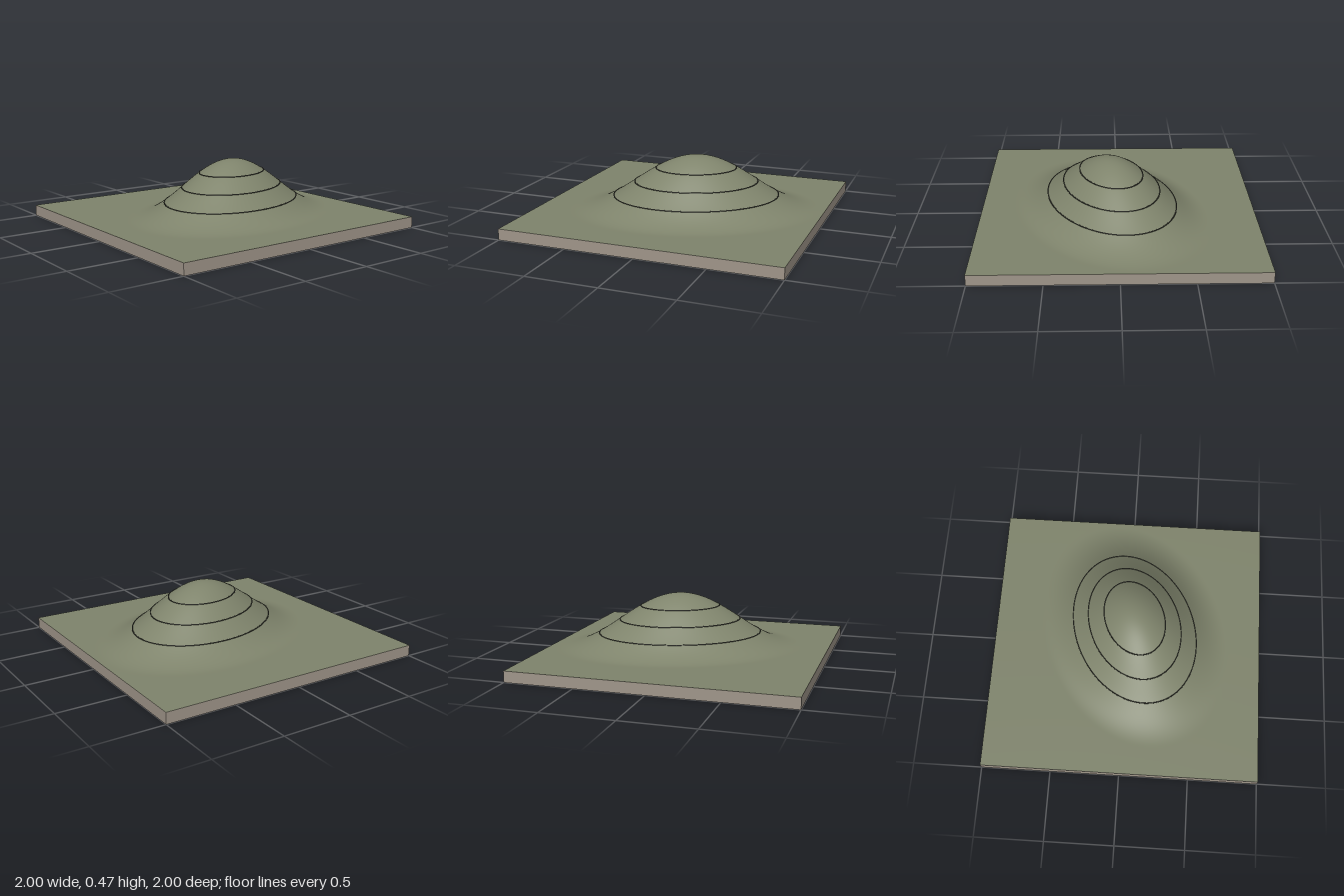
import * as THREE from 'three';

const SLAB = 0.08, RISE = 0.392;           // slab thickness, hill height above it
const CX = 0.088, CZ = 0.05;               // hill centre
const RA = 0.91, RB = 0.668;               // long and short radius of the foot
const TURN = -0.386;                       // direction of the long axis in x-z
const COS = Math.cos(TURN), SIN = Math.sin(TURN);

// Ground height: a cosine bell over a turned ellipse
function height(x, z) {
  const dx = x - CX, dz = z - CZ;
  const t = Math.hypot((dx * COS + dz * SIN) / RA, (dz * COS - dx * SIN) / RB);
  return SLAB + (t < 1 ? RISE * 0.5 * (1 + Math.cos(Math.PI * t)) : 0);
}

// Point on the hill's ellipse at fraction t of the foot radius
function ellipsePoint(t, angle, y) {
  const u = RA * t * Math.cos(angle), v = RB * t * Math.sin(angle);
  return new THREE.Vector3(CX + u * COS - v * SIN, y, CZ + u * SIN + v * COS);
}

function addMesh(group, name, geometry, color) {
  const mesh = new THREE.Mesh(geometry, new THREE.MeshStandardMaterial({ color }));
  mesh.name = name;
  group.add(mesh);
  return mesh;
}

export function createModel() {
  const group = new THREE.Group();
  group.name = 'hillTerrain';

  // Slab sides and underside; the terrain takes the place of its top face
  const slab = new THREE.BoxGeometry(2, SLAB, 2).translate(0, SLAB / 2, 0);
  const index = Array.from(slab.index.array);
  index.splice(12, 6);
  slab.setIndex(index);
  slab.clearGroups();
  addMesh(group, 'baseSlab', slab, 0xa0968a);

  // Terrain sheet lifted into the hill
  const terrain = new THREE.PlaneGeometry(2, 2, 128, 128).rotateX(-Math.PI / 2);
  const pos = terrain.attributes.position;
  for (let i = 0; i < pos.count; i++) pos.setY(i, height(pos.getX(i), pos.getZ(i)));
  terrain.computeVertexNormals();
  addMesh(group, 'terrainSurface', terrain, 0x7f846c);

  // Contour lines at equal height steps
  [0.18, 0.28, 0.38].forEach((y, n) => {
    const t = Math.acos((2 * (y - SLAB)) / RISE - 1) / Math.PI;
    const points = [];
    for (let i = 0; i < 48; i++) points.push(ellipsePoint(t, (i / 48) * Math.PI * 2, y));
    const curve = new THREE.CatmullRomCurve3(points, true);
    addMesh(group, 'contourLine' + (n + 1), new THREE.TubeGeometry(curve, 160, 0.004, 6, true), 0x3a3b33);
  });

  return group;
}
